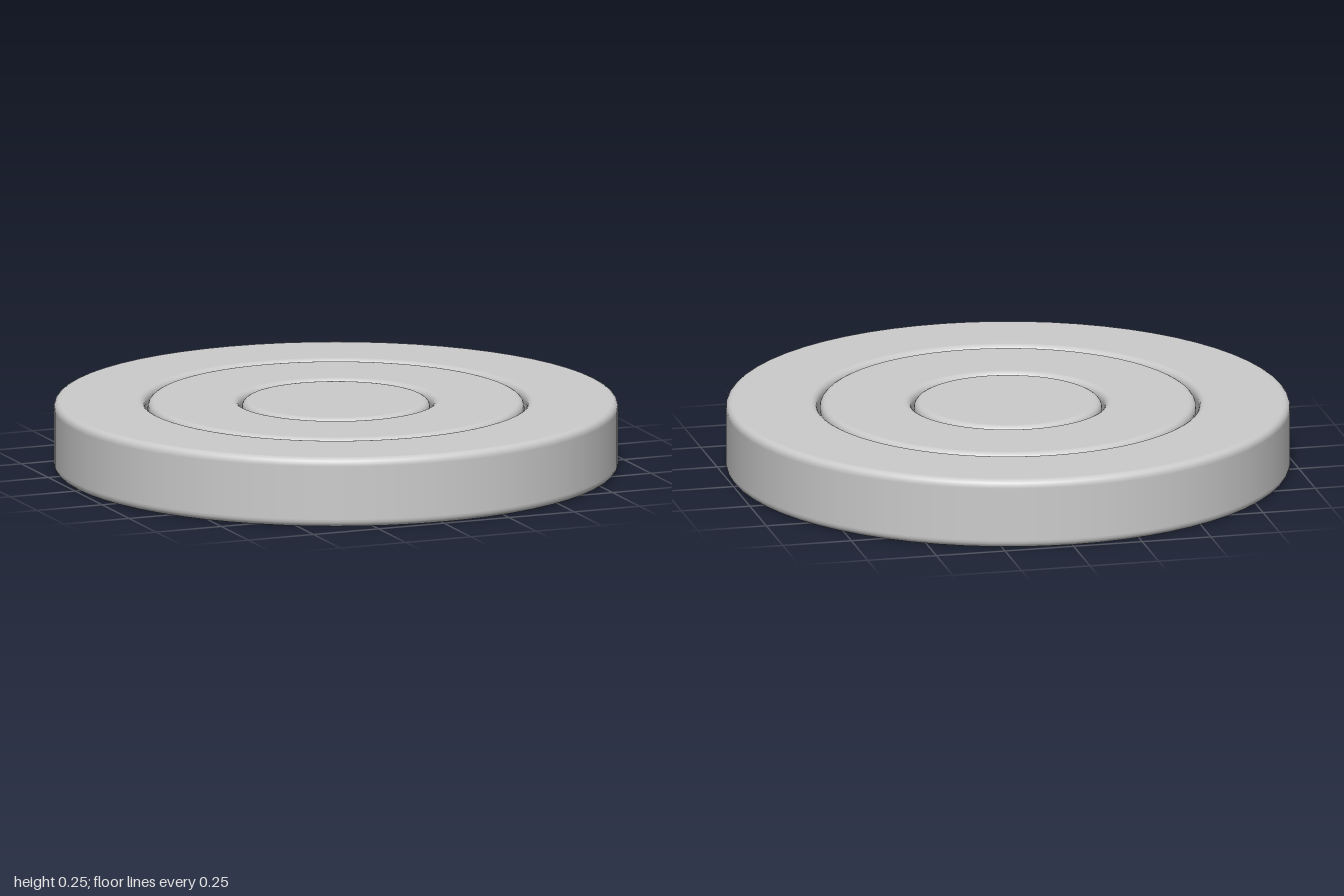
import * as THREE from 'three';

const HEIGHT = 0.25, BEVEL = 0.025, SEGMENTS = 64, ARC_STEPS = 5;

// Rounded profile from inner to outer radius; inner = 0 gives a solid disc
function ringProfile(inner, outer) {
  const pts = [];
  const corner = (cx, cy, start) => {
    const at = (a, along) => pts.push(new THREE.Vector2(
      cx + BEVEL * Math.cos(a) + along * Math.sin(a),
      cy + BEVEL * Math.sin(a) - along * Math.cos(a)));
    at(start, 0.004); // support point keeps the flat side flat
    for (let i = 0; i <= ARC_STEPS; i++) at(start + (i / ARC_STEPS) * Math.PI / 2, 0);
    at(start + Math.PI / 2, -0.004);
  };
  const middle = inner > 0 ? (inner + outer) / 2 : 0;
  pts.push(new THREE.Vector2(middle, 0));
  corner(outer - BEVEL, BEVEL, -Math.PI / 2);
  corner(outer - BEVEL, HEIGHT - BEVEL, 0);
  if (inner > 0) {
    corner(inner + BEVEL, HEIGHT - BEVEL, Math.PI / 2);
    corner(inner + BEVEL, BEVEL, Math.PI);
  }
  pts.push(new THREE.Vector2(middle, inner > 0 ? 0 : HEIGHT));
  return pts;
}

export function createModel() {
  const model = new THREE.Group();
  model.name = 'concentricDiscs';
  const material = new THREE.MeshStandardMaterial({ color: 0xcccccc });

  // Centre disc and two rings, separated by narrow open gaps
  const parts = [
    ['centreDisc', 0, 0.333],
    ['middleRing', 0.343, 0.667],
    ['outerRing', 0.677, 1],
  ];
  for (const [name, inner, outer] of parts) {
    const mesh = new THREE.Mesh(new THREE.LatheGeometry(ringProfile(inner, outer), SEGMENTS), material);
    mesh.name = name;
    model.add(mesh);
  }
  return model;
}
